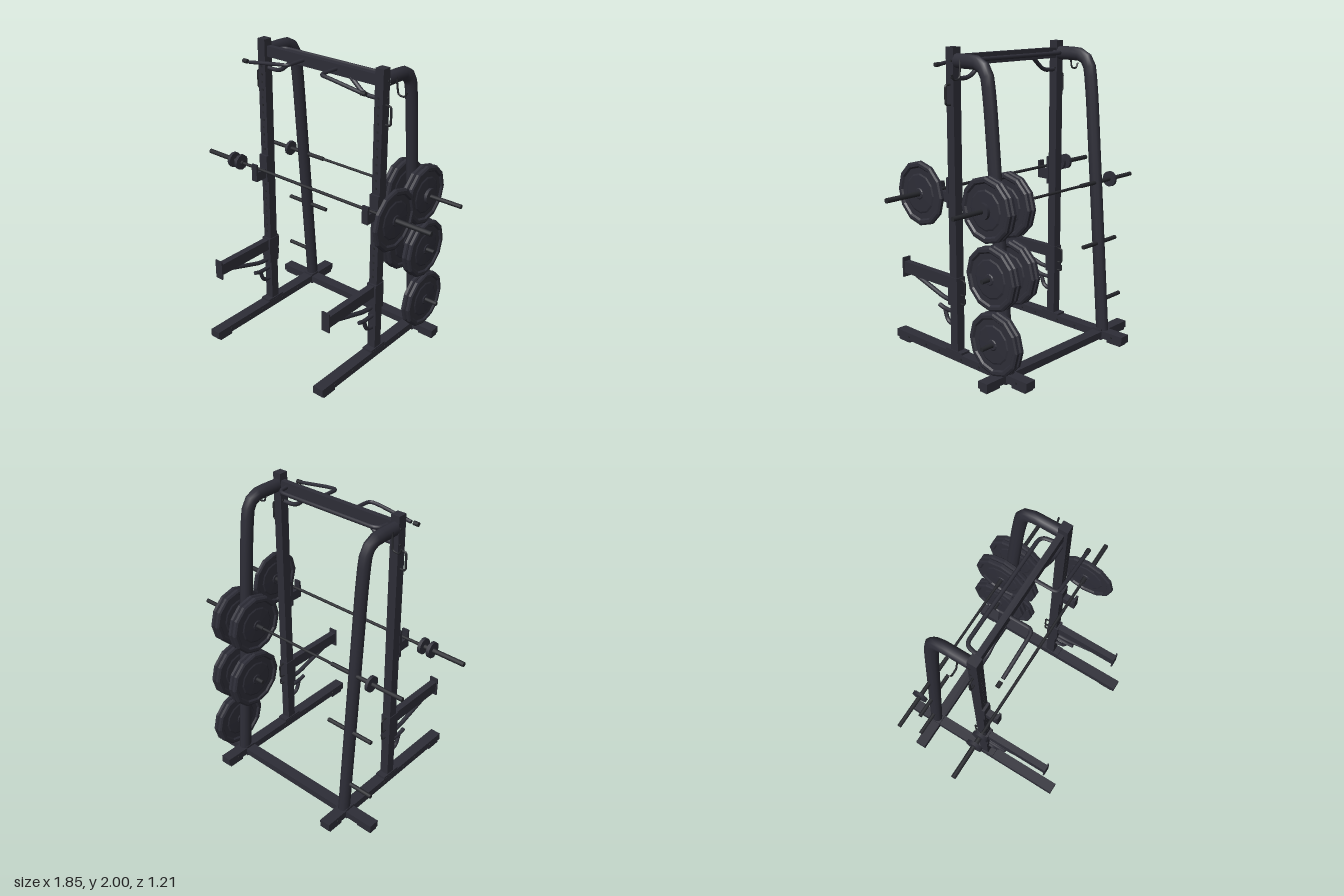
import * as THREE from 'three';

const frameMat = new THREE.MeshStandardMaterial({ color: 0x2d2d37 });
frameMat.name = 'frame charcoal';
const barMat = new THREE.MeshStandardMaterial({ color: 0x26272c });
barMat.name = 'bar black';
const V = (x, y, z) => new THREE.Vector3(x, y, z);

// Box given by its limits on each axis
function box(parent, name, x0, x1, y0, y1, z0, z1, mat = frameMat) {
  const m = new THREE.Mesh(new THREE.BoxGeometry(x1 - x0, y1 - y0, z1 - z0), mat);
  m.position.set((x0 + x1) / 2, (y0 + y1) / 2, (z0 + z1) / 2);
  m.name = name;
  parent.add(m);
  return m;
}

// Round rod along x
function rod(parent, name, x0, x1, y, z, r, mat = barMat, sides = 12) {
  const m = new THREE.Mesh(new THREE.CylinderGeometry(r, r, Math.abs(x1 - x0), sides), mat);
  m.rotation.z = Math.PI / 2;
  m.position.set((x0 + x1) / 2, y, z);
  m.name = name;
  parent.add(m);
  return m;
}

// Bent tube through points with rounded corners
function bent(parent, name, pts, r, bend, mat = frameMat, sides = 8, steps = 48) {
  const path = new THREE.CurvePath();
  let from = pts[0];
  for (let i = 1; i < pts.length - 1; i++) {
    const p = pts[i];
    const dIn = p.clone().sub(pts[i - 1]);
    const dOut = pts[i + 1].clone().sub(p);
    const b = Math.min(bend, dIn.length() * 0.45, dOut.length() * 0.45);
    const a = p.clone().addScaledVector(dIn.normalize(), -b);
    const c = p.clone().addScaledVector(dOut.normalize(), b);
    path.add(new THREE.LineCurve3(from, a));
    path.add(new THREE.QuadraticBezierCurve3(a, p, c));
    from = c;
  }
  path.add(new THREE.LineCurve3(from, pts[pts.length - 1]));
  const g = new THREE.Group();
  g.name = name;
  g.add(new THREE.Mesh(new THREE.TubeGeometry(path, steps, r, sides), mat));
  // End caps
  [0, 1].forEach((t) => {
    const cap = new THREE.Mesh(new THREE.CircleGeometry(r, sides), mat);
    const p = path.getPointAt(t);
    const dir = path.getTangentAt(t).multiplyScalar(t ? 1 : -1);
    cap.position.copy(p);
    cap.quaternion.setFromUnitVectors(V(0, 0, 1), dir);
    g.add(cap);
  });
  parent.add(g);
  return g;
}

// Twelve-sided weight plate with raised rim and hub
const H = 0.018;
const half = [[0.012, 1], [0.03, 1], [0.036, 0.75], [0.115, 0.6], [0.125, 0.35],
  [0.16, 0.35], [0.17, 0.9], [0.188, 0.9], [0.2, 0.5]];
const profile = [...half.map(([r, h]) => new THREE.Vector2(r, -h * H)),
  ...half.slice().reverse().map(([r, h]) => new THREE.Vector2(r, h * H))];
const plateGeo = new THREE.LatheGeometry(profile, 12).toNonIndexed();
plateGeo.computeVertexNormals();
function weight(parent, x, y, z) {
  const m = new THREE.Mesh(plateGeo, frameMat);
  m.name = 'weightPlate';
  m.rotation.z = Math.PI / 2;
  m.position.set(x, y, z);
  parent.add(m);
}

function buildSide(s) {
  const g = new THREE.Group();
  g.name = s > 0 ? 'leftSide' : 'rightSide';
  const c = s * 0.465;
  const b = (name, w, ...r) => box(g, name, c - w / 2, c + w / 2, ...r);

  // Foot rail, pads and upright
  b('footRail', 0.075, 0.018, 0.07, -0.605, 0.605);
  b('frontPad', 0.07, 0, 0.018, 0.48, 0.585);
  b('rearPad', 0.07, 0, 0.018, -0.59, -0.48);
  b('rearJoint', 0.078, 0.004, 0.08, -0.435, -0.362);
  b('upright', 0.06, 0.07, 2, 0, 0.063);
  b('uprightFlange', 0.072, 0.07, 0.084, -0.04, 0.105);
  for (const z of [0.48, 0.3, 0.17, -0.04, -0.2, -0.52]) rod(g, 'footBolt', c - 0.041, c + 0.041, 0.044, z, 0.008, barMat, 6);
  for (const y of [1.92, 1.82]) rod(g, 'topBolt', c - 0.036, c + 0.036, y, 0.015, 0.007, barMat, 6);
  // Row of adjustment holes on the upright
  for (let i = 0; i < 24; i++) {
    const y = 0.62 + i * 0.052;
    if (y < 1.0 || y > 1.22) box(g, 'adjustmentHole', c - 0.007, c + 0.007, y, y + 0.014, 0.061, 0.0645, barMat);
  }

  // Bent rear leg
  const leg = bent(g, 'rearLeg', [V(0, 1.92, 0), V(0, 1.92, -0.245), V(0, 1.68, -0.278), V(0, 0.06, -0.415)], 0.044, 0.15, frameMat, 10, 36);
  leg.scale.x = 0.82;
  leg.position.x = c;

  // Bar hook
  b('hookBack', 0.066, 1.02, 1.21, 0.06, 0.08);
  b('hookShelf', 0.045, 1.05, 1.115, 0.07, 0.165);
  b('hookLip', 0.045, 1.05, 1.17, 0.153, 0.168);

  // Spotter arm with end plate and brace
  b('spotterBracket', 0.07, 0.385, 0.575, -0.006, 0.078);
  b('spotterArm', 0.045, 0.49, 0.568, 0.06, 0.525);
  b('spotterEndPlate', 0.06, 0.46, 0.595, 0.523, 0.533);
  bent(g, 'spotterBrace', [V(c, 0.49, 0.42), V(c, 0.405, 0.15), V(c, 0.4, 0.06)], 0.015, 0.06);
  bent(g, 'spotterPinHandle', [V(c, 0.56, 0), V(c, 0.56, -0.042), V(c, 0.46, -0.042), V(c, 0.46, 0)], 0.006, 0.02, barMat, 6);
  bent(g, 'spotterRearHook', [V(c, 0.44, -0.04), V(c, 0.4, -0.04), V(c, 0.4, 0)], 0.006, 0.015, barMat, 6);

  // Low hook
  bent(g, 'lowHook', [V(c, 0.24, 0.05), V(c, 0.25, 0.12), V(c, 0.335, 0.15)], 0.014, 0.06);
  bent(g, 'lowHookTop', [V(c, 0.33, 0.055), V(c, 0.33, 0.15), V(c, 0.345, 0.2)], 0.014, 0.04);

  // Side handle and small accessory hook
  bent(g, 'sideHandle', [V(s * 0.49, 1.78, 0.03), V(s * 0.533, 1.78, 0.03), V(s * 0.533, 1.66, 0.03), V(s * 0.49, 1.66, 0.03)], 0.007, 0.02, barMat, 6);
  bent(g, 'accessoryHook', [V(s * 0.495, 1.93, -0.062), V(s * 0.508, 1.82, -0.068), V(s * 0.555, 1.815, -0.068), V(s * 0.57, 1.85, -0.068)], 0.006, 0.02, barMat, 6);

  // Pull-up grips: forward handle and lower angled handle
  bent(g, 'forwardGrip', [V(s * 0.13, 1.925, 0.03), V(s * 0.13, 1.925, 0.185), V(s * 0.2, 1.92, 0.19), V(s * 0.44, 1.885, 0.19)], 0.012, 0.06);
  rod(g, 'forwardGripEnd', c - 0.03, c + 0.005, 1.885, 0.19, 0.014);
  bent(g, 'lowerGrip', [V(s * 0.44, 1.81, 0.03), V(s * 0.335, 1.81, 0.03), V(s * 0.235, 1.895, 0.03)], 0.014, 0.05);

  // Storage pegs
  rod(g, 'upperPeg', s * 0.293, s * 0.637, 0.68, -0.37, 0.014);
  rod(g, 'lowerPeg', s * 0.44, s * 0.668, 0.275, -0.395, 0.014);
  return g;
}

export function createModel() {
  const root = new THREE.Group();
  root.name = 'powerRack';
  root.add(buildSide(1), buildSide(-1));

  // Cross members
  box(root, 'rearBeam', -0.705, 0.665, 0.018, 0.065, -0.437, -0.362);
  box(root, 'rearBeamPadRight', -0.7, -0.59, 0, 0.018, -0.43, -0.37);
  box(root, 'rearBeamPadLeft', 0.55, 0.66, 0, 0.018, -0.43, -0.37);
  box(root, 'topBeam', -0.44, 0.44, 1.887, 1.955, 0.005, 0.042);
  bent(root, 'pullUpBar', [V(-0.41, 1.925, 0.02), V(-0.395, 1.925, -0.075), V(0.375, 1.925, -0.075), V(0.39, 1.925, 0.02)], 0.013, 0.05, frameMat, 8, 64);

  // Front barbell
  const front = new THREE.Group();
  front.name = 'frontBarbell';
  rod(front, 'barShaft', -0.62, 0.62, 1.13, 0.13, 0.01);
  rod(front, 'rightSleeve', -0.925, -0.6, 1.13, 0.13, 0.016);
  rod(front, 'leftSleeve', 0.6, 0.92, 1.13, 0.13, 0.016);
  for (const x of [-0.692, -0.627]) rod(front, 'smallPlate', x - 0.011, x + 0.011, 1.132, 0.13, 0.053, frameMat);
  weight(front, 0.656, 1.13, 0.13);
  root.add(front);

  // Rear stored barbell
  const rear = new THREE.Group();
  rear.name = 'rearBarbell';
  rod(rear, 'barShaft', -0.3, 0.3, 1.09, -0.34, 0.009);
  rod(rear, 'rightSleeve', -0.83, -0.295, 1.09, -0.34, 0.014);
  rod(rear, 'leftSleeve', 0.29, 0.828, 1.09, -0.34, 0.014);
  for (const x of [-0.6, 0.594]) rod(rear, 'smallPlate', x - 0.01, x + 0.01, 1.09, -0.34, 0.052, frameMat);
  root.add(rear);

  // Stored weights
  const stored = new THREE.Group();
  stored.name = 'storedWeights';
  for (const x of [0.364, 0.4, 0.526, 0.562]) {
    weight(stored, x, 1.09, -0.337);
    weight(stored, x, 0.68, -0.372);
    if (x > 0.5) weight(stored, x, 0.275, -0.394);
  }
  root.add(stored);
  return root;
}
